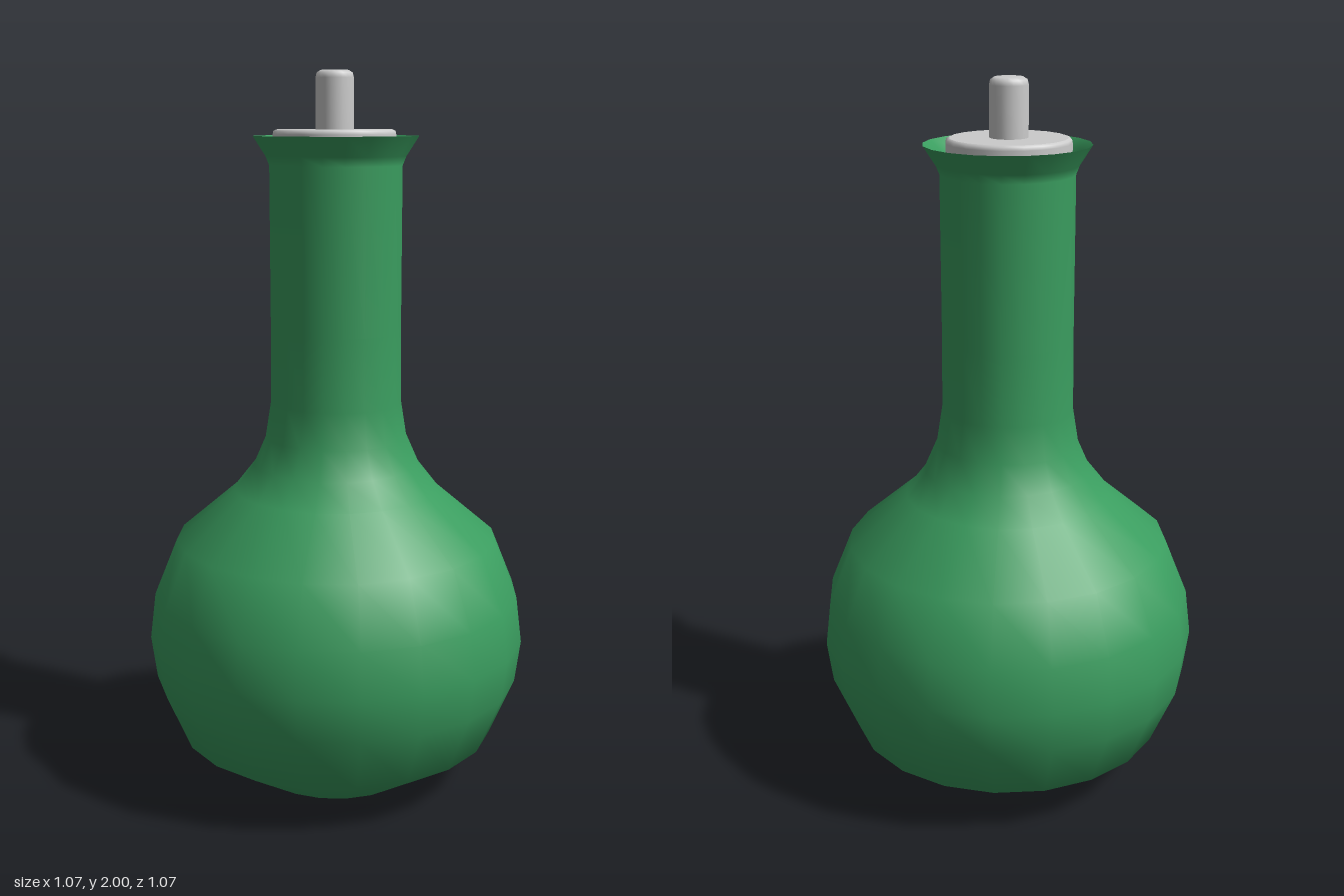
import * as THREE from 'three';

const SIDES = 20;

// Spins [radius, height] pairs around the y axis
function turned(name, profile, material, sides = SIDES) {
  const points = profile.map(([r, y]) => new THREE.Vector2(r, y));
  const mesh = new THREE.Mesh(new THREE.LatheGeometry(points, sides), material);
  mesh.name = name;
  return mesh;
}

export function createModel() {
  const group = new THREE.Group();
  group.name = 'flask';
  const glass = new THREE.MeshStandardMaterial({ color: 0x3a9d5f, side: THREE.DoubleSide });
  const grey = new THREE.MeshStandardMaterial({ color: 0xcccccc });

  // Round bulb, long neck and flared lip
  group.add(turned('bottle', [
    [0.235, 0], [0.45, 0.135], [0.52, 0.3], [0.536, 0.42], [0.52, 0.55],
    [0.455, 0.71], [0.29, 0.85], [0.235, 0.92], [0.2, 1.0], [0.184, 1.1],
    [0.182, 1.3], [0.182, 1.75], [0.192, 1.775], [0.226, 1.828],
  ], glass));

  // Inside of the lip and neck
  group.add(turned('innerLip', [
    [0.226, 1.828], [0.202, 1.805], [0.178, 1.76], [0.172, 1.72], [0.172, 1.5],
  ], glass));

  // Flat base
  group.add(turned('base', [[0, 0], [0.235, 0]], glass));

  // Stopper plug with a rounded top edge, and its pull knob
  const stopper = new THREE.Group();
  stopper.name = 'stopper';
  stopper.position.x = -0.004;
  stopper.add(turned('plugSide', [
    [0.158, 1.6], [0.168, 1.72], [0.168, 1.832], [0.166, 1.841], [0.158, 1.845],
  ], grey));
  stopper.add(turned('plugTop', [[0.158, 1.845], [0, 1.845]], grey));
  stopper.add(turned('plugBottom', [[0, 1.6], [0.158, 1.6]], grey));
  stopper.add(turned('knob', [
    [0.052, 1.84], [0.052, 1.98], [0.049, 1.993], [0.038, 2], [0, 2],
  ], grey));
  group.add(stopper);

  return group;
}
